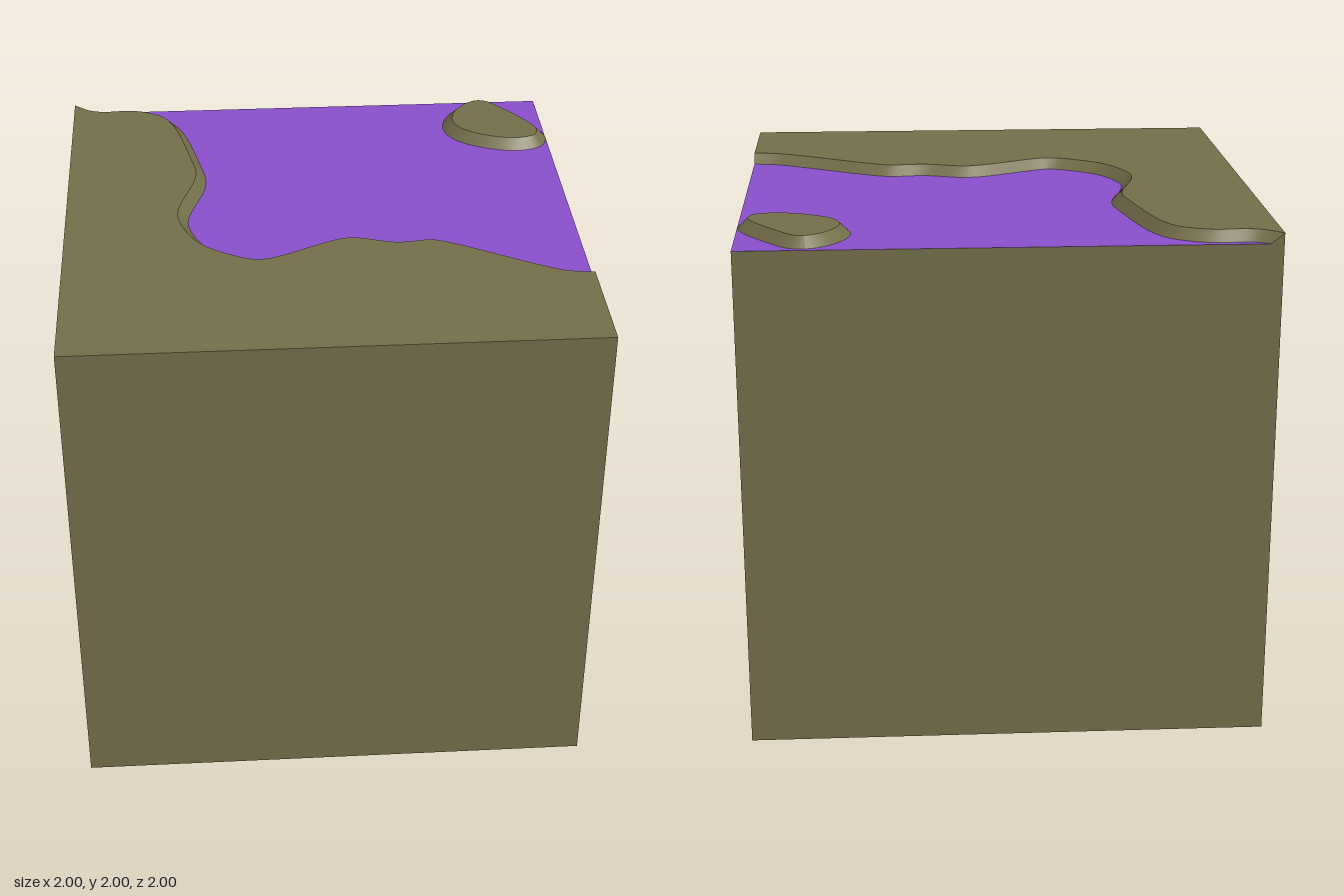
import * as THREE from 'three';

const LOW = 1.96, HIGH = 2, SLOPE = 0.04;

const earth = new THREE.MeshStandardMaterial({ name: 'olive earth', color: 0x736e4a });
const liquid = new THREE.MeshStandardMaterial({ name: 'purple liquid', color: 0x8a50cc });

// Smooth foot line of a bank, from [x, z] points, with tangent-based offset for its upper line
function bankLines(points, closed, count) {
  const curve = new THREE.CatmullRomCurve3(
    points.map(([x, z]) => new THREE.Vector3(x, LOW, z)), closed, 'centripetal');
  const foot = [], crest = [];
  for (let i = 0; i <= count; i++) {
    const p = curve.getPointAt(i / count), t = curve.getTangentAt(i / count);
    p.x = Math.min(p.x, 1);
    foot.push(p);
    crest.push(new THREE.Vector3(Math.min(p.x - t.z * SLOPE, 1), HIGH, p.z + t.x * SLOPE));
  }
  return { foot, crest };
}

// Strip of faces between a lower and an upper line
function strip(lower, upper, flat) {
  const n = lower.length, index = [];
  for (let i = 0; i < n - 1; i++) index.push(i, n + i, i + 1, i + 1, n + i, n + i + 1);
  let g = new THREE.BufferGeometry().setFromPoints([...lower, ...upper]);
  g.setIndex(index);
  if (flat) g = g.toNonIndexed();
  g.computeVertexNormals();
  return g;
}

// Level surface inside an outline
function cap(outline) {
  const shape = new THREE.Shape(outline.map(p => new THREE.Vector2(p.x, -p.z)));
  return new THREE.ShapeGeometry(shape).rotateX(-Math.PI / 2).translate(0, HIGH, 0);
}

export function createModel() {
  const model = new THREE.Group();
  const add = (name, geometry, material) => {
    const mesh = new THREE.Mesh(geometry, material);
    mesh.name = name;
    model.add(mesh);
  };

  // Solid block whose top face is the liquid surface
  add('block', new THREE.BoxGeometry(2, LOW, 2).translate(0, LOW / 2, 0),
    [earth, earth, liquid, earth, earth, earth]);

  // Raised land along the left and front, with a sloping shore
  const { foot, crest } = bankLines([
    [-0.95, -1], [-0.89, -0.97], [-0.74, -0.97], [-0.61, -0.91], [-0.545, -0.81],
    [-0.46, -0.45], [-0.445, -0.35], [-0.455, -0.26], [-0.518, -0.04], [-0.518, 0.04],
    [-0.465, 0.18], [-0.42, 0.235], [-0.3, 0.315], [-0.25, 0.33], [-0.2, 0.315],
    [0.03, 0.2], [0.09, 0.185], [0.15, 0.19], [0.28, 0.23], [0.42, 0.22], [0.5, 0.25],
    [0.82, 0.44], [0.91, 0.485], [1, 0.5]], false, 110);
  crest[0].set(-1, HIGH, -1);
  crest[crest.length - 1].x = 1;
  const corners = y => [[1, 1], [-1, 1], [-1, -1]].map(([x, z]) => new THREE.Vector3(x, y, z));
  add('shoreBank', strip(foot, crest), earth);
  add('landSides', strip(
    [foot.at(-1), ...corners(LOW), foot[0]],
    [crest.at(-1), ...corners(HIGH), crest[0]], true), earth);
  add('landTop', cap([...crest, ...corners(HIGH).slice(0, 2)]), earth);

  // Small island in the back corner
  const island = bankLines([
    [0.735, -0.98], [0.8, -0.965], [0.845, -0.92], [0.98, -0.72], [1, -0.65], [0.97, -0.57],
    [0.865, -0.535], [0.725, -0.57], [0.61, -0.655], [0.575, -0.75], [0.595, -0.85],
    [0.66, -0.94]], true, 60);
  add('islandBank', strip(island.foot, island.crest), earth);
  add('islandTop', cap(island.crest.slice(0, -1)), earth);

  return model;
}
